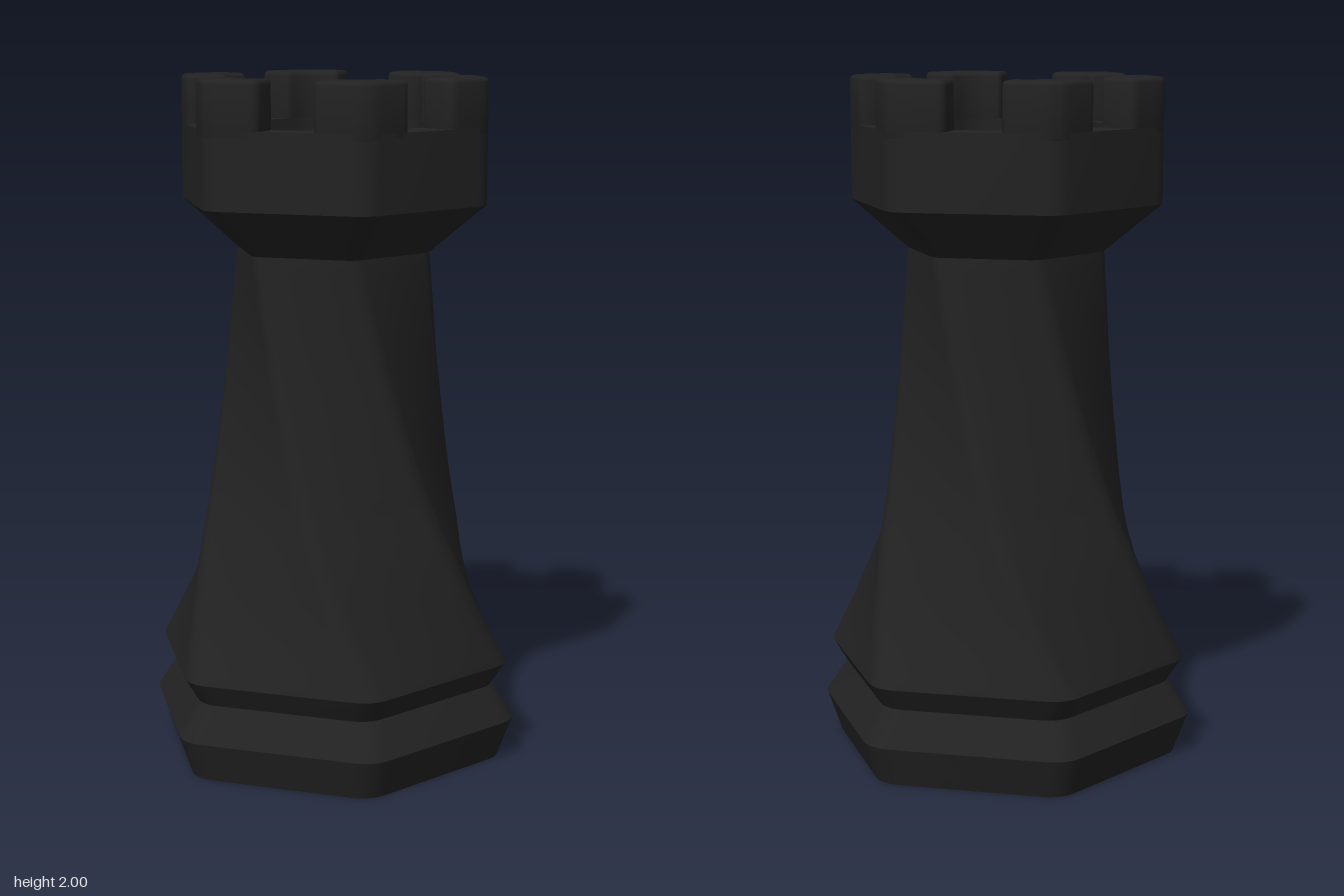
import * as THREE from 'three';
import { toCreasedNormals } from 'three/addons/utils/BufferGeometryUtils.js';

const ARC = 5; // segments per rounded hexagon corner

// Rounded hexagon in plan: apothem a, corner radius r, turned by twist
function hexRing(a, r, twist) {
  const points = [];
  const c = (a - r) / Math.cos(Math.PI / 6);
  for (let k = 0; k < 6; k++) {
    const corner = (k * Math.PI) / 3 + twist;
    for (let i = 0; i <= ARC; i++) {
      const t = corner + (i / ARC - 0.5) * (Math.PI / 3);
      points.push([c * Math.cos(corner) + r * Math.cos(t), c * Math.sin(corner) + r * Math.sin(t)]);
    }
  }
  return points;
}

// Skin a stack of sections {y, a, r, twist}, optionally closing the ends
function loft(sections, capStart, capEnd) {
  const pos = [], index = [], n = 6 * (ARC + 1);
  for (const { y, a, r = a * 0.2, twist = 0 } of sections) {
    for (const [x, z] of hexRing(a, r, twist)) pos.push(x, y, z);
  }
  const last = sections.length - 1;
  for (let s = 0; s < last; s++) {
    for (let j = 0; j < n; j++) {
      const a = s * n + j, b = s * n + ((j + 1) % n);
      index.push(a, a + n, b, b, a + n, b + n);
    }
  }
  const cap = (s, up) => {
    const centre = pos.length / 3;
    pos.push(0, sections[s].y, 0);
    for (let j = 0; j < n; j++) {
      const a = s * n + j, b = s * n + ((j + 1) % n);
      index.push(centre, up ? b : a, up ? a : b);
    }
  };
  if (capStart) cap(0, false);
  if (capEnd) cap(last, true);
  const g = new THREE.BufferGeometry();
  g.setAttribute('position', new THREE.Float32BufferAttribute(pos, 3));
  g.setIndex(index);
  return toCreasedNormals(g, 0.45);
}

// Closed shape from [x, y, cornerRadius] points, each corner rounded
function roundedShape(corners) {
  const shape = new THREE.Shape();
  corners.forEach(([x, y, r], i) => {
    const p = new THREE.Vector2(x, y);
    const [px, py] = corners[(i + corners.length - 1) % corners.length];
    const [nx, ny] = corners[(i + 1) % corners.length];
    const u = new THREE.Vector2(px, py).sub(p).normalize();
    const v = new THREE.Vector2(nx, ny).sub(p).normalize();
    const setback = r / Math.tan(Math.acos(u.dot(v)) / 2);
    const s = p.clone().addScaledVector(u, setback);
    const e = p.clone().addScaledVector(v, setback);
    if (i === 0) shape.moveTo(s.x, s.y);
    else shape.lineTo(s.x, s.y);
    shape.quadraticCurveTo(x, y, e.x, e.y);
  });
  shape.closePath();
  return shape;
}

// Battlement block wrapping one corner of the crown
function merlonGeometry(outer, inner, halfGap) {
  const c = Math.cos(Math.PI / 6), s = 0.5;
  const onFace = (a, side) => [a * c + halfGap * s, side * (a * s - halfGap * c)];
  const shape = roundedShape([
    [...onFace(outer, -1), 0.03],
    [outer / c, 0, 0.082],
    [...onFace(outer, 1), 0.03],
    [...onFace(inner, 1), 0.02],
    [inner / c, 0, 0.11],
    [...onFace(inner, -1), 0.02],
  ]);
  const bevel = 0.014;
  const g = new THREE.ExtrudeGeometry(shape, {
    depth: 0.17 - 2 * bevel, bevelEnabled: true, bevelSize: bevel, bevelThickness: bevel,
    bevelOffset: -bevel, bevelSegments: 3, curveSegments: 5,
  });
  g.rotateX(-Math.PI / 2);
  g.translate(0, 1.83 + bevel, 0);
  return toCreasedNormals(g, 0.6);
}

export function createModel() {
  const group = new THREE.Group();
  const black = new THREE.MeshStandardMaterial({ color: 0x222222 });
  black.name = 'black';
  const add = (name, geometry, parent = group) => {
    const mesh = new THREE.Mesh(geometry, black);
    mesh.name = name;
    parent.add(mesh);
    return mesh;
  };

  // Stepped foot and the collar above its groove
  add('base', loft([
    { y: 0, a: 0.46 }, { y: 0.12, a: 0.5 }, { y: 0.22, a: 0.44 }, { y: 0.29, a: 0.48 },
  ], true, false));

  // Tapering shaft, twisted by one sixth of a turn
  const taper = new THREE.SplineCurve([
    [0.48, 0.29], [0.423, 0.45], [0.375, 0.62], [0.329, 0.8], [0.295, 1.0], [0.272, 1.22], [0.26, 1.5],
  ].map(([a, y]) => new THREE.Vector2(a, y)));
  const shaft = [];
  for (let i = 0; i <= 28; i++) {
    const { x: a, y } = taper.getPoint(i / 28);
    shaft.push({ y, a, twist: ((y - 0.29) / 1.21) * (Math.PI / 3) });
  }
  add('twistedShaft', loft(shaft, false, false));

  // Flared crown with a sunken hexagonal well
  add('crown', loft([
    { y: 1.5, a: 0.26 }, { y: 1.64, a: 0.41 }, { y: 1.86, a: 0.41 },
    { y: 1.86, a: 0.29, r: 0.11 }, { y: 1.7, a: 0.29, r: 0.11 },
  ], false, true));

  // Six battlements, one on each corner
  const battlements = new THREE.Group();
  battlements.name = 'battlements';
  group.add(battlements);
  const merlon = merlonGeometry(0.41, 0.29, 0.077);
  for (let k = 0; k < 6; k++) add('battlement', merlon, battlements).rotation.y = (k * Math.PI) / 3;

  return group;
}
